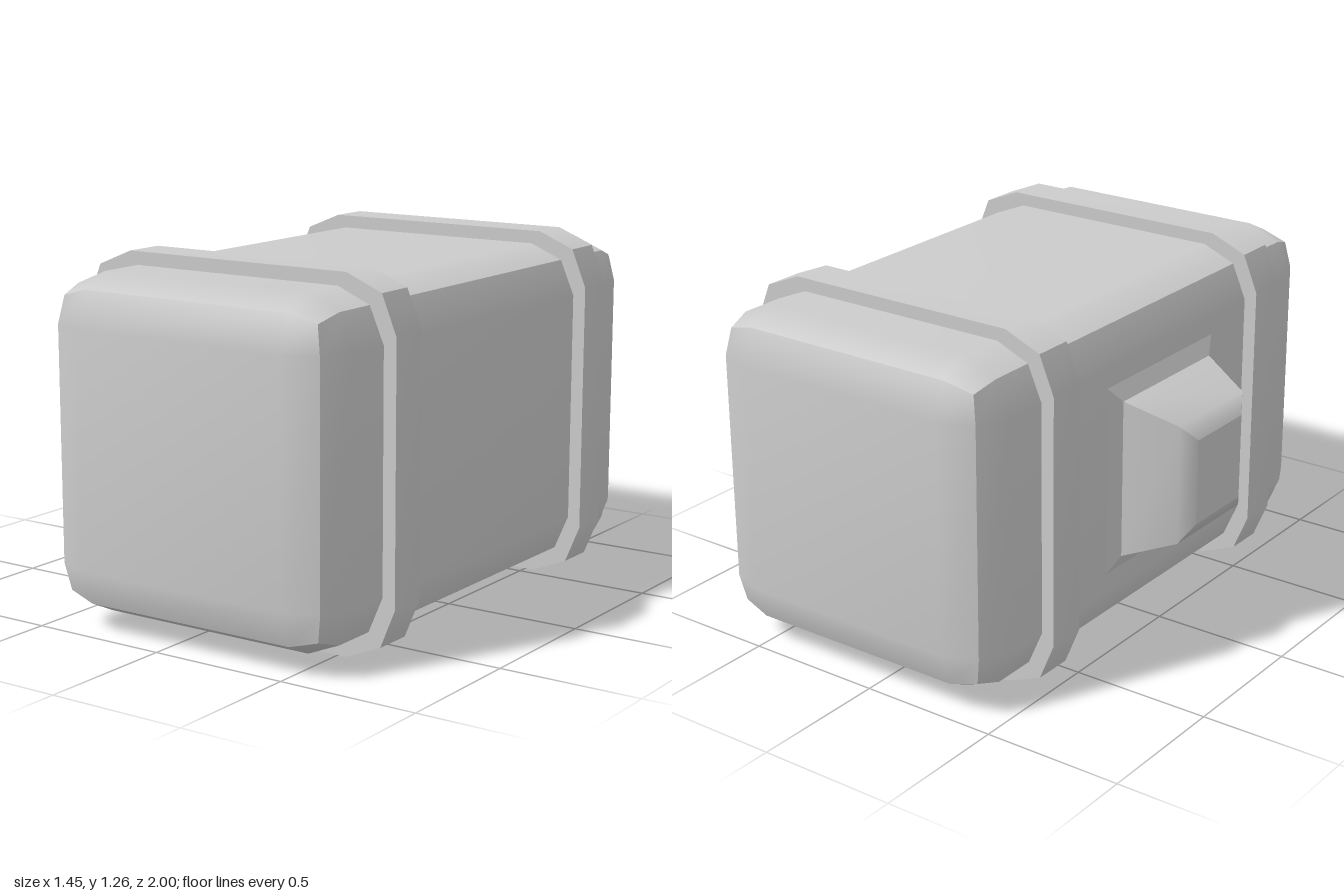
import * as THREE from 'three';

const material = new THREE.MeshStandardMaterial({ color: 0xcccccc });

// Box whose vertices are moved by a rule; each box side stays its own smooth patch
function shapedBox(name, size, segments, rule) {
  const geometry = new THREE.BoxGeometry(...size, ...segments);
  const pos = geometry.attributes.position;
  for (let i = 0; i < pos.count; i++) {
    pos.setXYZ(i, ...rule([pos.getX(i), pos.getY(i), pos.getZ(i)].map(Math.round)));
  }
  geometry.computeVertexNormals();
  const mesh = new THREE.Mesh(geometry, material);
  mesh.name = name;
  return mesh;
}

// Grid coordinates are -3, -1, 1, 3. Each axis lists its half extents:
// [inner line, on a face, on an edge, on a corner]
function rounded(coords, extents) {
  const outer = coords.filter((c) => Math.abs(c) === 3).length;
  return coords.map((c, k) => Math.sign(c) * extents[k][Math.abs(c) === 3 ? outer : 0]);
}

// Rectangular rings along x: [x, half height, half depth]
function ringed(name, rings) {
  const n = rings.length - 1;
  return shapedBox(name, [n * 2, 2, 2], [n, 1, 1], ([x, y, z]) => {
    const [px, h, d] = rings[Math.round((x + n) / 2)];
    return [px, y * h, z * d];
  });
}

export function createModel() {
  const model = new THREE.Group();
  model.name = 'strappedCase';

  // Body with softened edges
  const bodyExtents = [
    [0.405, 0.578, 0.525, 0.507],
    [0.407, 0.58, 0.53, 0.503],
    [0.85, 1, 0.955, 0.94],
  ];
  const body = shapedBox('body', [6, 6, 6], [3, 3, 3], (c) => rounded(c, bodyExtents));
  body.position.set(0.095, 0.63, 0);
  model.add(body);

  // Two bands around the body
  const bandExtents = [
    [0.437, 0.625, 0.57],
    [0.44, 0.628, 0.573],
  ];
  for (const [name, z] of [['frontBand', 0.613], ['backBand', -0.613]]) {
    const band = shapedBox(name, [6, 6, 2], [3, 3, 1], ([x, y, cz]) => [
      ...rounded([x, y], bandExtents), cz * 0.0725,
    ]);
    band.position.set(0.095, 0.628, z);
    model.add(band);
  }

  // Tapered knob on the side, with a shallow flared base
  const knob = new THREE.Group();
  knob.name = 'sideKnob';
  knob.add(
    ringed('knobTip', [[-0.725, 0.153, 0.135], [-0.69, 0.213, 0.197], [-0.51, 0.283, 0.265]]),
    ringed('knobBase', [[-0.51, 0.283, 0.265], [-0.483, 0.34, 0.32]]),
  );
  knob.position.y = 0.63;
  model.add(knob);

  return model;
}
